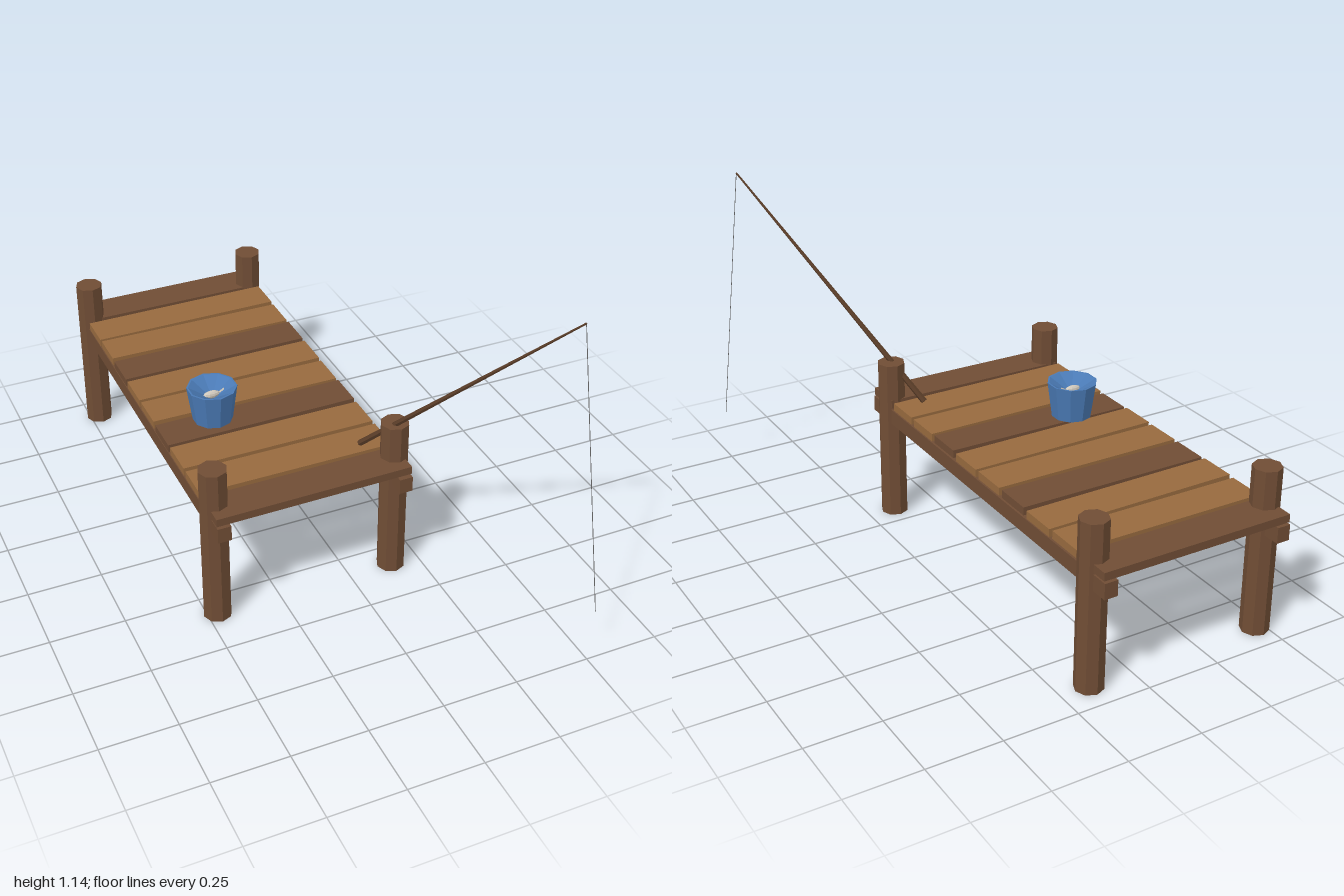
import * as THREE from 'three';

const mat = (name, color, extra = {}) => {
  const m = new THREE.MeshStandardMaterial({ color, flatShading: true, ...extra });
  m.name = name;
  return m;
};

export function createModel() {
  const root = new THREE.Group();
  root.name = 'fishingDock';
  const darkWood = mat('dark wood', 0x704d35);
  const lightWood = mat('light wood', 0x976a3e);
  const rodWood = mat('rod wood', 0x5a3d28);
  const blue = mat('bucket blue', 0x4a7ab5, { side: THREE.DoubleSide });
  const pale = mat('pale bait', 0xcfc8bc);
  const lineGrey = mat('line grey', 0x6a6a6a);

  const add = (name, geo, material, x, y, z) => {
    const m = new THREE.Mesh(geo, material);
    m.name = name;
    m.position.set(x, y, z);
    root.add(m);
    return m;
  };

  // Tapered bar between two points
  const bar = (name, a, b, r0, r1, sides, material) => {
    const d = b.clone().sub(a);
    const c = a.clone().add(b).multiplyScalar(0.5);
    const m = add(name, new THREE.CylinderGeometry(r1, r0, d.length(), sides), material, c.x, c.y, c.z);
    m.quaternion.setFromUnitVectors(new THREE.Vector3(0, 1, 0), d.normalize());
    return m;
  };

  // Piles and the long beams beside them
  for (const x of [-0.466, 0.152]) {
    for (const z of [-0.905, 0.333]) {
      add('pile', new THREE.CylinderGeometry(0.047, 0.047, 0.57, 8), darkWood, x, 0.285, z);
    }
    add('beam', new THREE.BoxGeometry(0.045, 0.053, 1.425), darkWood, x, 0.383, -0.2875);
  }

  // Deck planks, every third one darker, each laid a little unevenly
  for (let i = 0; i < 10; i++) {
    const plank = add('plank', new THREE.BoxGeometry(0.663, 0.027, 0.126),
      i % 3 === 0 ? darkWood : lightWood, -0.157, 0.429, -0.933 + i * 0.143);
    plank.rotation.z = Math.sin(i * 2.3) * 0.006;
  }

  // Bucket: tapered wall with a hollow narrowing inside
  const profile = [[0, 0], [0.067, 0], [0.084, 0.122], [0.078, 0.122], [0, 0.075]]
    .map(([x, y]) => new THREE.Vector2(x, y));
  add('bucket', new THREE.LatheGeometry(profile, 10), blue, -0.3, 0.444, -0.1);

  // Small pale catch lying in the bucket
  const body = add('catchBody', new THREE.SphereGeometry(0.03, 10, 6), pale, -0.302, 0.535, -0.1);
  body.scale.set(1, 0.45, 0.4);
  const tail = add('catchTail', new THREE.ConeGeometry(0.014, 0.024, 4), pale, -0.27, 0.537, -0.1);
  tail.rotation.z = Math.PI / 2;
  tail.scale.z = 0.5;

  // Rod leaning on the front pile, and its hanging line
  const butt = new THREE.Vector3(0.08, 0.445, 0.232);
  const tip = new THREE.Vector3(0.461, 1.143, 0.86);
  bar('rod', butt, tip, 0.011, 0.003, 6, rodWood);
  bar('line', tip, new THREE.Vector3(0.51, 0.19, 1.0), 0.0012, 0.0012, 4, lineGrey);

  return root;
}
